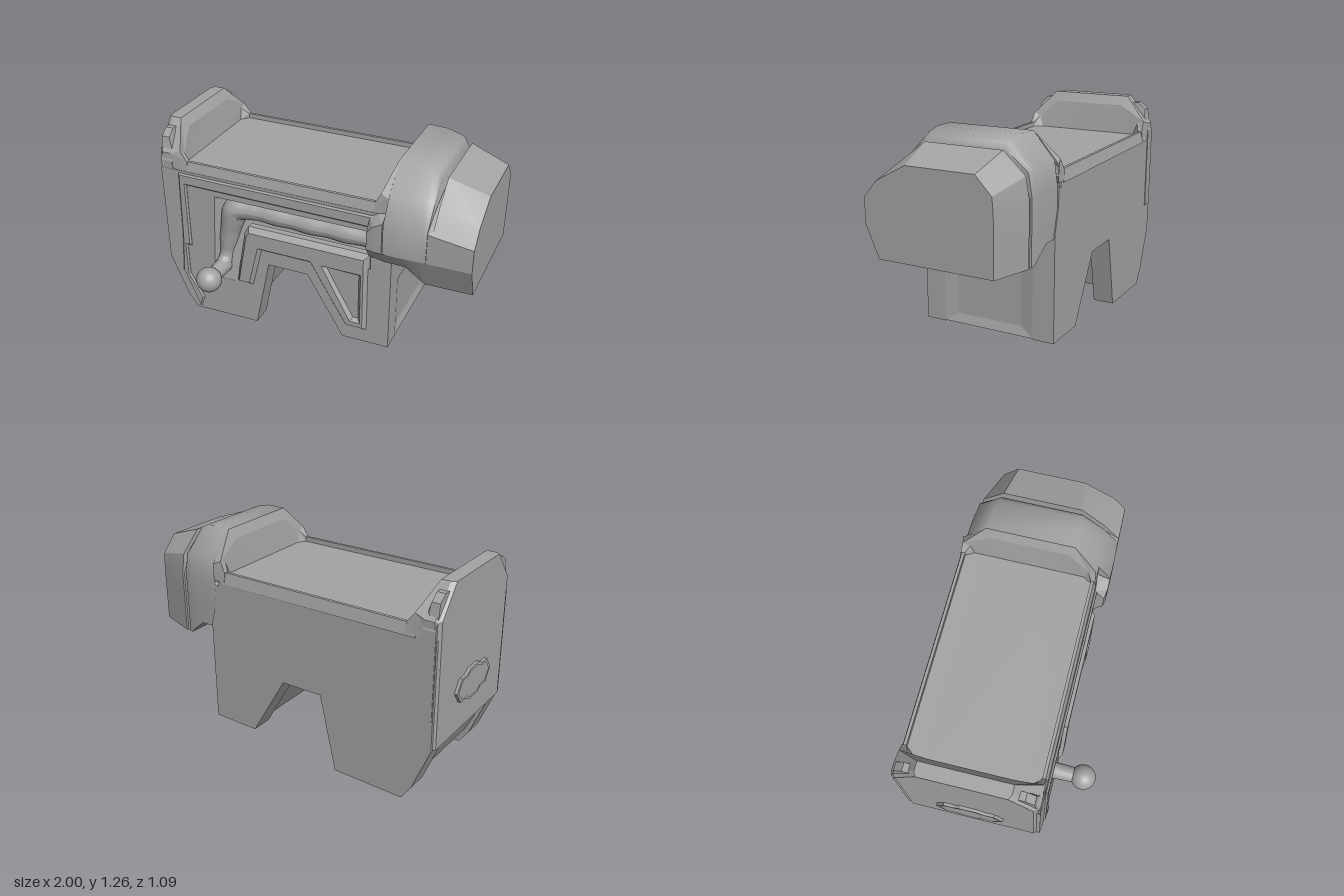
import * as THREE from 'three';
import { toCreasedNormals } from 'three/addons/utils/BufferGeometryUtils.js';

const grey = new THREE.MeshStandardMaterial({ color: 0xa3a3a3 });
const greyBoth = new THREE.MeshStandardMaterial({ color: 0xa3a3a3, side: THREE.DoubleSide });

const MID_Z = -0.13; // middle of the body in depth

function outline(points) {
  return new THREE.Shape(points.map(([x, y]) => new THREE.Vector2(x, y)));
}

// Profile in x/y pushed through from z0 to z1, with optional holes and chamfer
function slab(points, z0, z1, holes = [], chamfer = 0, chamferDepth = chamfer) {
  const shape = outline(points);
  holes.forEach(h => shape.holes.push(outline(h)));
  const geo = new THREE.ExtrudeGeometry(shape, {
    depth: z1 - z0 - 2 * chamferDepth, bevelEnabled: chamfer > 0,
    bevelSize: chamfer, bevelThickness: chamferDepth, bevelSegments: 1,
  });
  return geo.translate(0, 0, z0 + chamferDepth);
}

function faceted(pos, index, crease) {
  const geo = new THREE.BufferGeometry();
  geo.setAttribute('position', new THREE.Float32BufferAttribute(pos, 3));
  geo.setIndex(index);
  return toCreasedNormals(geo, crease);
}

// Solid over cross-sections [x, [[z, y], ...]], each running clockwise seen from +x
function loft(sections, crease = 0.3) {
  const pos = [], index = [], n = sections[0][1].length;
  sections.forEach(([x, ring]) => ring.forEach(([z, y]) => pos.push(x, y, z)));
  for (let i = 0; i < sections.length - 1; i++) {
    for (let j = 0; j < n; j++) {
      const a = i * n + j, b = i * n + (j + 1) % n;
      index.push(a, a + n, b, b, a + n, b + n);
    }
  }
  const e = (sections.length - 1) * n;
  for (let j = 1; j < n - 1; j++) index.push(0, j, j + 1, e, e + j + 1, e + j);
  return faceted(pos, index, crease);
}

// Open surface between rows of [x, y, z] points
function strip(rows) {
  const index = [], n = rows[0].length;
  for (let i = 0; i < rows.length - 1; i++) {
    for (let j = 0; j < n - 1; j++) {
      const a = i * n + j;
      index.push(a, a + n, a + 1, a + 1, a + n, a + n + 1);
    }
  }
  return faceted(rows.flat(2), index, 0.2);
}

const mirrorRing = ring => ring.map(([z, y]) => [2 * MID_Z - z, y]).reverse();

export function createModel() {
  const model = new THREE.Group();
  const add = (name, geo, mat = grey) => {
    const mesh = new THREE.Mesh(geo, mat);
    mesh.name = name;
    model.add(mesh);
    return mesh;
  };

  // Side plates with two legs; the front one is cut out for the handle
  const side = [[-0.97, 1.0], [-0.97, 0.36], [-0.86, 0.09], [-0.8, 0.005], [-0.36, 0.015],
    [-0.26, 0.475], [0, 0.475], [0.23, 0.085], [0.525, 0.09], [0.525, 0.72], [0.45, 1.0]];
  const recess = [[-0.61, 0.87], [0.4, 0.87], [0.4, 0.62], [-0.41, 0.62], [-0.49, 0.29], [-0.73, 0.29]];
  add('backPlate', slab(side, -0.54, -0.41));
  add('frontPlate', slab(side, 0.16, 0.285, [recess]));

  // Recess floor, sloping out to meet the leg, with slanted walls above and left
  const floor = new THREE.ShapeGeometry(outline(recess));
  const p = floor.attributes.position;
  for (let i = 0; i < p.count; i++) {
    p.setZ(i, 0.165 + 0.119 * Math.max(0, (0.87 - p.getY(i)) / 0.58));
  }
  floor.computeVertexNormals();
  add('recessFloor', floor);
  add('recessWalls', strip([
    [[-0.73, 0.29, 0.285], [-0.61, 0.87, 0.285], [0.4, 0.87, 0.285]],
    [[-0.65, 0.29, 0.284], [-0.54, 0.835, 0.172], [0.4, 0.835, 0.172]],
  ]), greyBoth);

  // Core between the plates, a little shallower all round
  add('core', slab([[-0.975, 1.03], [-0.965, 0.4], [-0.88, 0.2], [-0.83, 0.1], [-0.41, 0.1], [-0.32, 0.5],
    [0.03, 0.5], [0.26, 0.095], [0.508, 0.095], [0.508, 0.51], [0.525, 0.51], [0.525, 0.72],
    [0.45, 1.03]], -0.42, 0.17));

  // Shallow bevelled panel on the end of the core
  add('endPanelBevel', strip([
    [[0.525, 0.095, 0.16], [0.525, 0.51, 0.16], [0.525, 0.51, -0.41], [0.525, 0.095, -0.41], [0.525, 0.095, 0.16]],
    [[0.51, 0.15, 0.08], [0.51, 0.47, 0.08], [0.51, 0.47, -0.33], [0.51, 0.15, -0.33], [0.51, 0.15, 0.08]],
  ]), greyBoth);

  // Bed floor between two narrow rails
  const bed = add('bedFloor', new THREE.BoxGeometry(1.33, 0.04, 0.8));
  bed.position.set(-0.19, 1.01, MID_Z);
  const rail = [[0.285, 0.99], [0.268, 1.06], [0.25, 1.06], [0.25, 0.99]];
  for (const [name, ring] of [['frontRail', rail], ['backRail', mirrorRing(rail)]]) {
    add(name, loft([[-0.85, ring], [0.43, ring]]));
  }

  // Headboard, chamfered on its outer side
  const board = (inset) => [[0.28 - inset, 0.36], [0.28 - inset, 1.1], [0.13 - inset / 2, 1.268],
    [-0.39 + inset / 2, 1.268], [-0.54 + inset, 1.1], [-0.54 + inset, 0.36]];
  add('headboard', loft([[-0.982, board(0.03)], [-0.955, board(0)], [-0.9, board(0)]]));

  // Sloping lip and well that close the bed at each end, from half rows of [x, y, z]
  const halfRows = [
    [[-0.9, 1.0, 0.28], [-0.9, 1.06, 0.28], [-0.9, 1.1, 0.28], [-0.9, 1.268, 0.13]],
    [[-0.79, 1.0, 0.283], [-0.79, 1.06, 0.275], [-0.835, 1.12, 0.268], [-0.9, 1.268, 0.13]],
    [[-0.79, 1.05, 0.25], [-0.79, 1.06, 0.25], [-0.835, 1.1, 0.225], [-0.865, 1.21, 0.1]],
    [[-0.79, 1.03, 0.25], [-0.79, 1.03, 0.25], [-0.83, 1.03, 0.2], [-0.83, 1.03, 0.1]],
  ];
  const lipRows = halfRows.map(h => [...h, ...h.map(([x, y, z]) => [x, y, 2 * MID_Z - z]).reverse()]);
  add('headboardLip', strip(lipRows), greyBoth);
  add('bolsterLip', strip(lipRows.map(r => r.map(([x, y, z]) => [0.49 - 0.73 * (x + 0.9), y, z]))), greyBoth);

  // Corner posts beside the headboard
  const post = [[0.284, 0.54], [0.284, 1.05], [0.265, 1.1], [0.25, 1.19], [0.2, 1.228], [0.1, 1.228], [0.1, 0.54]];
  for (const [name, ring] of [['frontPost', post], ['backPost', mirrorRing(post)]]) {
    add(name, loft([[-0.965, ring], [-0.915, ring], [-0.89, ring.map(([z, y]) => [z, Math.min(y, 1.1)])]]));
  }

  // Plain waisted ring on the outer end
  const loop = (a, b) => [[-a, 0], [-a * 0.75, b * 0.75], [-a * 0.45, b * 0.75], [-a * 0.25, b], [a * 0.25, b],
    [a * 0.45, b * 0.75], [a * 0.75, b * 0.75], [a, 0], [a * 0.75, -b * 0.75], [a * 0.45, -b * 0.75],
    [a * 0.25, -b], [-a * 0.25, -b], [-a * 0.45, -b * 0.75], [-a * 0.75, -b * 0.75]];
  const ringMesh = add('endRing', slab(loop(0.2, 0.095), 0, 0.03, [loop(0.18, 0.078)]));
  ringMesh.rotation.y = -Math.PI / 2;
  ringMesh.position.set(-0.97, 0.615, MID_Z);

  // Raised strip around the front plate
  add('edgeStrip', slab([[0.4, 0.97], [-0.84, 0.975], [-0.85, 0.55], [-0.87, 0.28], [-0.77, 0.035],
    [-0.75, 0.1], [-0.84, 0.26], [-0.84, 0.49], [-0.81, 0.49], [-0.81, 0.92], [0.4, 0.912]],
  0.27, 0.297, [], 0.01));

  // Raised arch panel with a triangular opening
  add('archPanel', slab([[-0.46, 0.32], [-0.39, 0.32], [-0.32, 0.59], [0.03, 0.59], [0.26, 0.2], [0.365, 0.2],
    [0.365, 0.685], [-0.375, 0.685], [-0.395, 0.65]], 0.2, 0.31,
  [[[0.1, 0.58], [0.35, 0.58], [0.35, 0.23], [0.285, 0.23]]], 0.028, 0.035));

  // Bolster: rounded top, faceted end cap past the groove, and bevelled skirt
  const block = (yb, zb, zf, ym, ys, zs, yt, z4, z5, z6, z7) => [[zb, yb], [zf, 0.79], [zf, ym], [zs, ys],
    [z4, yt], [z5, yt], [z6, ys], [z7, ym], [z7, 0.79], [z7, yb]];
  const sections = [
    [0.39, block(0.715, 0.29, 0.345, 0.9, 0.97, 0.29, 1.01, 0.24, -0.48, -0.52, -0.53)],
    [0.43, block(0.71, 0.29, 0.355, 0.95, 1.0, 0.28, 1.02, 0.2, -0.45, -0.52, -0.54)],
    [0.485, block(0.7, 0.29, 0.355, 0.98, 1.01, 0.28, 1.02, 0.2, -0.45, -0.52, -0.54)],
    [0.49, block(0.7, 0.29, 0.355, 0.98, 1.12, 0.26, 1.268, 0.13, -0.39, -0.515, -0.535)],
    [0.61, block(0.695, 0.29, 0.355, 0.98, 1.12, 0.26, 1.268, 0.13, -0.38, -0.51, -0.53)],
    [0.69, block(0.63, 0.28, 0.352, 0.98, 1.12, 0.25, 1.25, 0.13, -0.37, -0.5, -0.52)],
    [0.72, block(0.6, 0.27, 0.35, 0.98, 1.11, 0.25, 1.235, 0.12, -0.37, -0.5, -0.515)],
    [0.74, block(0.6, 0.27, 0.35, 0.975, 1.1, 0.25, 1.21, 0.12, -0.36, -0.49, -0.51)],
    [0.742, block(0.6, 0.27, 0.35, 0.975, 1.05, 0.24, 1.11, 0.1, -0.34, -0.46, -0.5)],
    [0.765, block(0.6, 0.27, 0.35, 0.972, 1.05, 0.24, 1.11, 0.1, -0.34, -0.46, -0.5)],
    [0.768, block(0.6, 0.27, 0.35, 0.97, 1.09, 0.25, 1.21, 0.11, -0.36, -0.49, -0.51)],
    [1, block(0.6, 0.265, 0.345, 0.935, 1.03, 0.265, 1.13, 0.08, -0.33, -0.425, -0.432)],
  ];
  const upper = sections.map(([x, r]) => [x, r.slice(1, 9)]);
  add('bolsterTop', loft(upper.slice(0, 3)));
  add('bolsterRound', loft(upper.slice(3, 8), 0.9));
  add('bolsterEnd', loft(upper.slice(8)));
  add('bolsterSkirt', loft(sections.map(([x, r]) => [x, [r[0], r[1], r[8], r[9]]])));

  // Bent handle bar: gently waved grip, thick elbow, slim end
  const v = (x, y, z) => new THREE.Vector3(x, y, z);
  const bar = new THREE.CatmullRomCurve3([v(0.42, 0.79, 0.22), v(0, 0.79, 0.22), v(-0.4, 0.795, 0.22),
    v(-0.5, 0.78, 0.22), v(-0.53, 0.7, 0.22), v(-0.565, 0.54, 0.225), v(-0.578, 0.43, 0.25), v(-0.58, 0.39, 0.31)]);
  const steps = 80, sides = 20;
  const barGeo = new THREE.TubeGeometry(bar, steps, 0.06, sides);
  const bp = barGeo.attributes.position, q = new THREE.Vector3();
  for (let i = 0; i < bp.count; i++) {
    const c = bar.getPointAt(Math.floor(i / (sides + 1)) / steps);
    const elbow = 0.3 * Math.exp(-(((c.x + 0.51) / 0.07) ** 2) - ((c.y - 0.77) / 0.14) ** 2);
    const wave = c.x > -0.35 ? 0.05 * Math.cos(c.x * 28) : 0;
    const slim = 0.25 * THREE.MathUtils.smoothstep(0.58 - c.y, 0, 0.12);
    q.fromBufferAttribute(bp, i).sub(c).multiplyScalar(1 + elbow + wave - slim).add(c);
    bp.setXYZ(i, q.x, q.y, q.z);
  }
  barGeo.computeVertexNormals();
  add('handleBar', barGeo);

  // Ball knob on a short stem
  const stem = add('knobStem', new THREE.CylinderGeometry(0.046, 0.052, 0.16, 20));
  stem.rotation.x = Math.PI / 2;
  stem.position.set(-0.58, 0.39, 0.35);
  const knob = add('knob', new THREE.SphereGeometry(0.078, 28, 20));
  knob.position.set(-0.58, 0.39, 0.465);

  return model;
}
